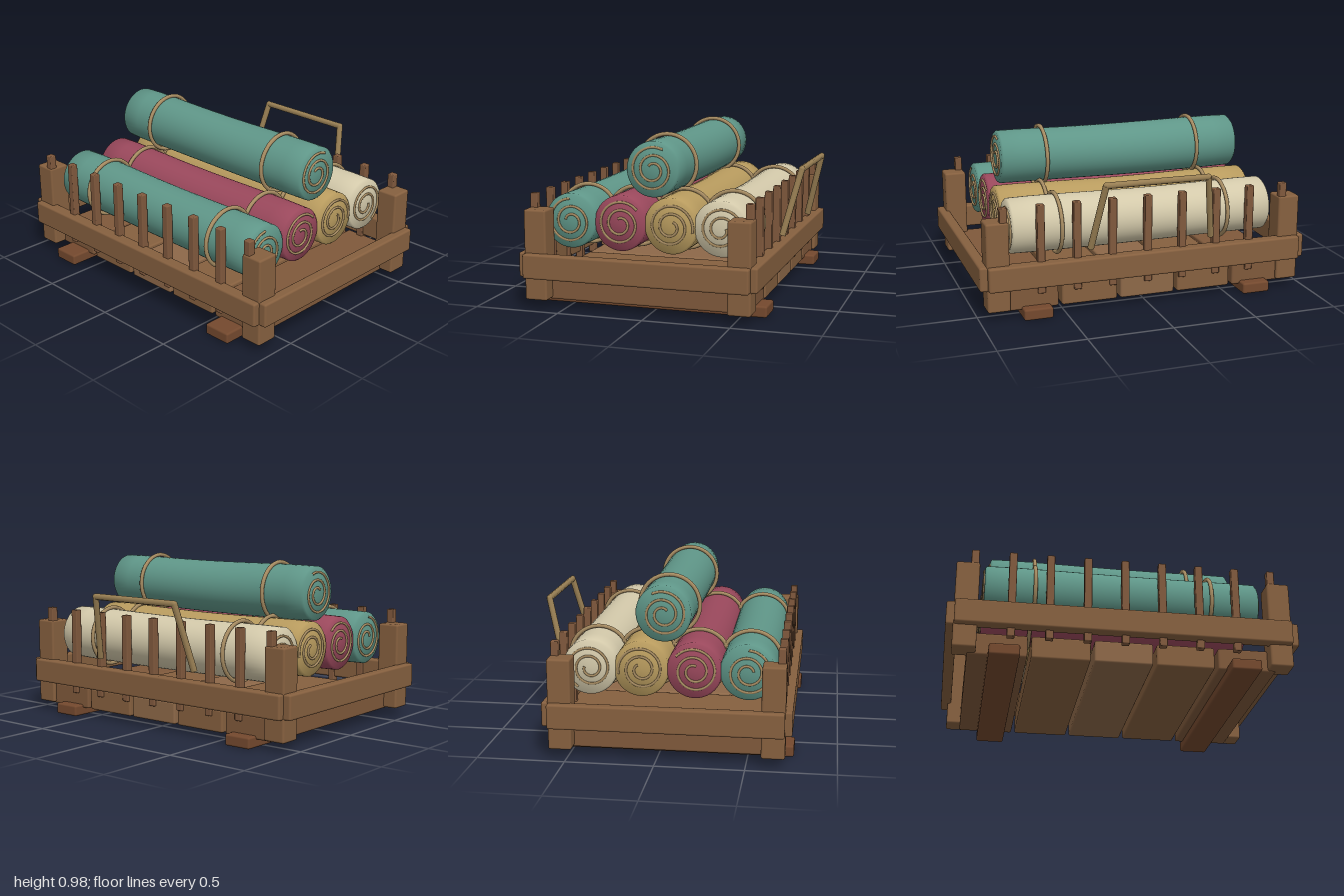
import * as THREE from 'three';
import { RoundedBoxGeometry } from 'three/addons/geometries/RoundedBoxGeometry.js';
import { toCreasedNormals } from 'three/addons/utils/BufferGeometryUtils.js';

const mat = (color) => new THREE.MeshStandardMaterial({ color });
const WOOD = mat(0x86603f), DARK = mat(0x74492e), PICKET = mat(0x80593d);
const SLATS = [0x7f593b, 0x86603f, 0x8d6848].map(mat);
const ROPE = mat(0xa78c62), HANDLE = mat(0x9a8054);
const TEAL = mat(0x5f9688), RED = mat(0x9a485c), GOLD = mat(0xb89b5e), CREAM = mat(0xd3c9aa);
const MID_Z = 0.057; // centre of the crate in z

export function createModel() {
  const model = new THREE.Group();
  model.name = 'crateOfRolls';

  const add = (parent, name, geometry, material) => {
    const mesh = new THREE.Mesh(geometry, material);
    mesh.name = name;
    parent.add(mesh);
    return mesh;
  };
  // Softly bevelled timber between two corners
  const timber = (name, [x0, y0, z0], [x1, y1, z1], material = WOOD, bevel = 0.012) => {
    const mesh = add(model, name, new RoundedBoxGeometry(x1 - x0, y1 - y0, z1 - z0, 2, bevel), material);
    mesh.position.set((x0 + x1) / 2, (y0 + y1) / 2, (z0 + z1) / 2);
    return mesh;
  };

  // Floor slats running front to back
  for (let i = -2; i <= 2; i++) {
    const x = i * 0.353;
    timber('floorSlat', [x - 0.166, 0.045, -0.58], [x + 0.166, 0.176, 0.635], SLATS[2 - Math.abs(i)]);
  }

  // Runners, side rails and corner posts, mirrored left and right
  for (const s of [-1, 1]) {
    const span = (name, a, b, y0, y1, z0, z1, material) =>
      timber(name, [Math.min(s * a, s * b), y0, z0], [Math.max(s * a, s * b), y1, z1], material);
    span('runner', 0.588, 0.758, 0, 0.066, -0.645, 0.757, DARK);
    span('sideRail', 0.935, 0.998, 0.183, 0.325, -0.6, 0.712);
    span('frontPost', 0.825, 0.957, 0.053, 0.573, 0.583, 0.715);
    span('backPost', 0.825, 0.957, 0.053, 0.573, -0.602, -0.47);
  }

  // Long rails and pickets, front and back
  for (const s of [-1, 1]) {
    const railZ = MID_Z + s * 0.657, picketZ = MID_Z + s * 0.63;
    const side = s > 0 ? 'front' : 'back';
    timber(side + 'Rail', [-0.953, 0.183, railZ - 0.038], [0.953, 0.325, railZ + 0.038]);
    for (let i = -4; i <= 4; i++) {
      const x = i * 0.2133;
      timber(side + 'Picket', [x - 0.022, 0.135, picketZ - 0.022], [x + 0.022, 0.655, picketZ + 0.022], PICKET, 0.006);
    }
  }

  // Rolled cloths: body, spiral on each end, two rope ties
  const roll = (name, material, y, z, half, tieX, phase) => {
    const group = new THREE.Group();
    group.name = name;
    group.position.set(0, y, z);
    model.add(group);

    const R = 0.16;
    const profile = [[0, -half], [0.147, -half], [R - 0.002, -half + 0.012]];
    for (let i = 1; i < 12; i++) profile.push([R, -half + 0.012 + (i / 12) * (2 * half - 0.024)]);
    profile.push([R - 0.002, half - 0.012], [0.147, half], [0, half]);
    const body = new THREE.LatheGeometry(profile.map((p) => new THREE.Vector2(...p)), 40);
    body.rotateZ(-Math.PI / 2);
    // Slight sag and waviness of the cloth
    const pos = body.attributes.position;
    for (let i = 0; i < pos.count; i++) {
      const x = pos.getX(i), a = Math.atan2(pos.getY(i), pos.getZ(i));
      const k = 1 + 0.012 * Math.sin(x * 4 + 2 * a + phase);
      pos.setXYZ(i, x, pos.getY(i) * k - 0.003 * Math.cos(x * 4), pos.getZ(i) * k);
    }
    add(group, 'clothRoll', toCreasedNormals(body, 0.9), material);

    for (const s of [-1, 1]) {
      const points = [];
      for (let i = 0; i <= 48; i++) {
        const t = i / 48, a = phase + t * Math.PI * 4.4, r = 0.032 + 0.1 * t;
        points.push(new THREE.Vector3(s * (half + 0.002), r * Math.sin(a), r * Math.cos(a)));
      }
      add(group, 'endSpiral', new THREE.TubeGeometry(new THREE.CatmullRomCurve3(points), 96, 0.0075, 6), ROPE);

      const tie = add(group, 'ropeTie', new THREE.TorusGeometry(0.174, 0.012, 8, 48), ROPE);
      tie.rotation.y = Math.PI / 2;
      tie.position.x = s * tieX;
    }
  };
  roll('frontRoll', TEAL, 0.488, 0.497, 0.793, 0.508, 0.3);
  roll('secondRoll', RED, 0.488, 0.198, 0.793, 0.508, 1.2);
  roll('thirdRoll', GOLD, 0.488, -0.1, 0.793, 0.508, 2.1);
  roll('backRoll', CREAM, 0.488, -0.39, 0.793, 0.508, 2.9);
  roll('topRoll', TEAL, 0.796, 0.018, 0.748, 0.476, 0.8);

  // Bail handle leaning out behind the crate
  const handle = new THREE.Group();
  handle.name = 'handle';
  model.add(handle);
  const path = [[-0.367, 0.39, -0.64], [-0.305, 0.773, -0.736], [0.305, 0.773, -0.736], [0.367, 0.39, -0.64]]
    .map((p) => new THREE.Vector3(...p));
  for (let i = 0; i < 3; i++) {
    const dir = path[i + 1].clone().sub(path[i]);
    const bar = add(handle, i === 1 ? 'handleGrip' : 'handleArm',
      new THREE.CylinderGeometry(0.019, 0.019, dir.length(), 8), HANDLE);
    bar.position.copy(path[i]).addScaledVector(dir, 0.5);
    bar.quaternion.setFromUnitVectors(new THREE.Vector3(0, 1, 0), dir.normalize());
  }
  for (const p of [path[1], path[2]]) {
    add(handle, 'handleCorner', new THREE.SphereGeometry(0.019, 8, 6), HANDLE).position.copy(p);
  }

  return model;
}
